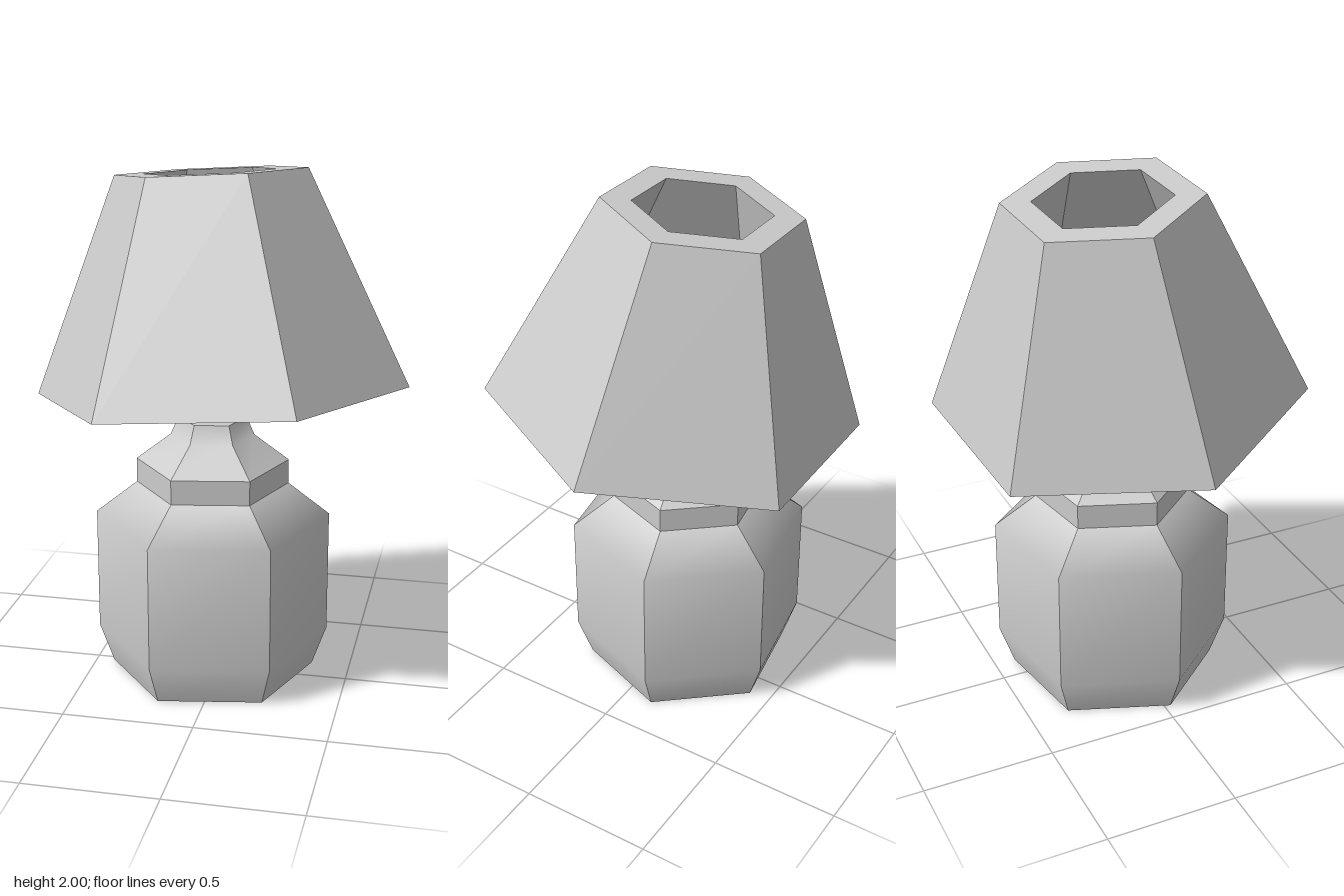
import * as THREE from 'three';

const SIDES = 6;
const material = new THREE.MeshStandardMaterial({ color: 0xcccccc });

// Sweeps [radius, y] bands round the axis: smooth along each band, sharp between sides and bands.
function hexSolid(name, bands, degrees) {
  const positions = [], indices = [];
  const step = (Math.PI * 2) / SIDES;
  for (const band of bands) {
    for (let s = 0; s < SIDES; s++) {
      const a = THREE.MathUtils.degToRad(degrees) + s * step;
      const b = a + step;
      const first = positions.length / 3;
      for (const [r, y] of band) {
        positions.push(r * Math.cos(a), y, r * Math.sin(a));
        positions.push(r * Math.cos(b), y, r * Math.sin(b));
      }
      for (let i = 0; i < band.length - 1; i++) {
        const a0 = first + i * 2, b0 = a0 + 1, a1 = a0 + 2, b1 = a0 + 3;
        if (band[i][0] > 0) indices.push(a0, a1, b0);
        if (band[i + 1][0] > 0) indices.push(b0, a1, b1);
      }
    }
  }
  const geometry = new THREE.BufferGeometry();
  geometry.setAttribute('position', new THREE.Float32BufferAttribute(positions, 3));
  geometry.setIndex(indices);
  geometry.computeVertexNormals();
  const mesh = new THREE.Mesh(geometry, material);
  mesh.name = name;
  return mesh;
}

export function createModel() {
  const lamp = new THREE.Group();
  lamp.name = 'tableLamp';

  // Upright base: jar body, collar, neck and stem
  const base = new THREE.Group();
  base.name = 'base';
  base.position.set(-0.04, 0, -0.045);
  const turn = -10;
  base.add(
    hexSolid('body', [
      [[0, 0], [0.396, 0]],
      [[0.396, 0], [0.451, 0.155], [0.451, 0.64], [0.292, 0.765]],
    ], turn),
    hexSolid('collar', [
      [[0.292, 0.765], [0.292, 0.86]],
    ], turn),
    hexSolid('neck', [
      [[0.292, 0.86], [0.16, 0.96], [0.13, 1.03]],
      [[0.13, 1.03], [0, 1.03]],
    ], turn),
    hexSolid('stem', [
      [[0.052, 1.03], [0.052, 1.45]],
      [[0.052, 1.45], [0, 1.45]],
    ], 0),
  );
  lamp.add(base);

  // Thick-walled hexagonal shade, open at both ends and tipped askew
  const height = 0.813;
  const shade = hexSolid('shade', [
    [[0.705, 0], [0.36, height]],
    [[0.36, height], [0.25, height]],
    [[0.25, height], [0.62, 0]],
    [[0.62, 0], [0.705, 0]],
  ], -3.2);
  shade.position.set(0, 1.15, 0);
  const tilt = new THREE.Vector3(-0.068, 1, -0.105).normalize();
  shade.quaternion.setFromUnitVectors(new THREE.Vector3(0, 1, 0), tilt);
  lamp.add(shade);

  return lamp;
}
